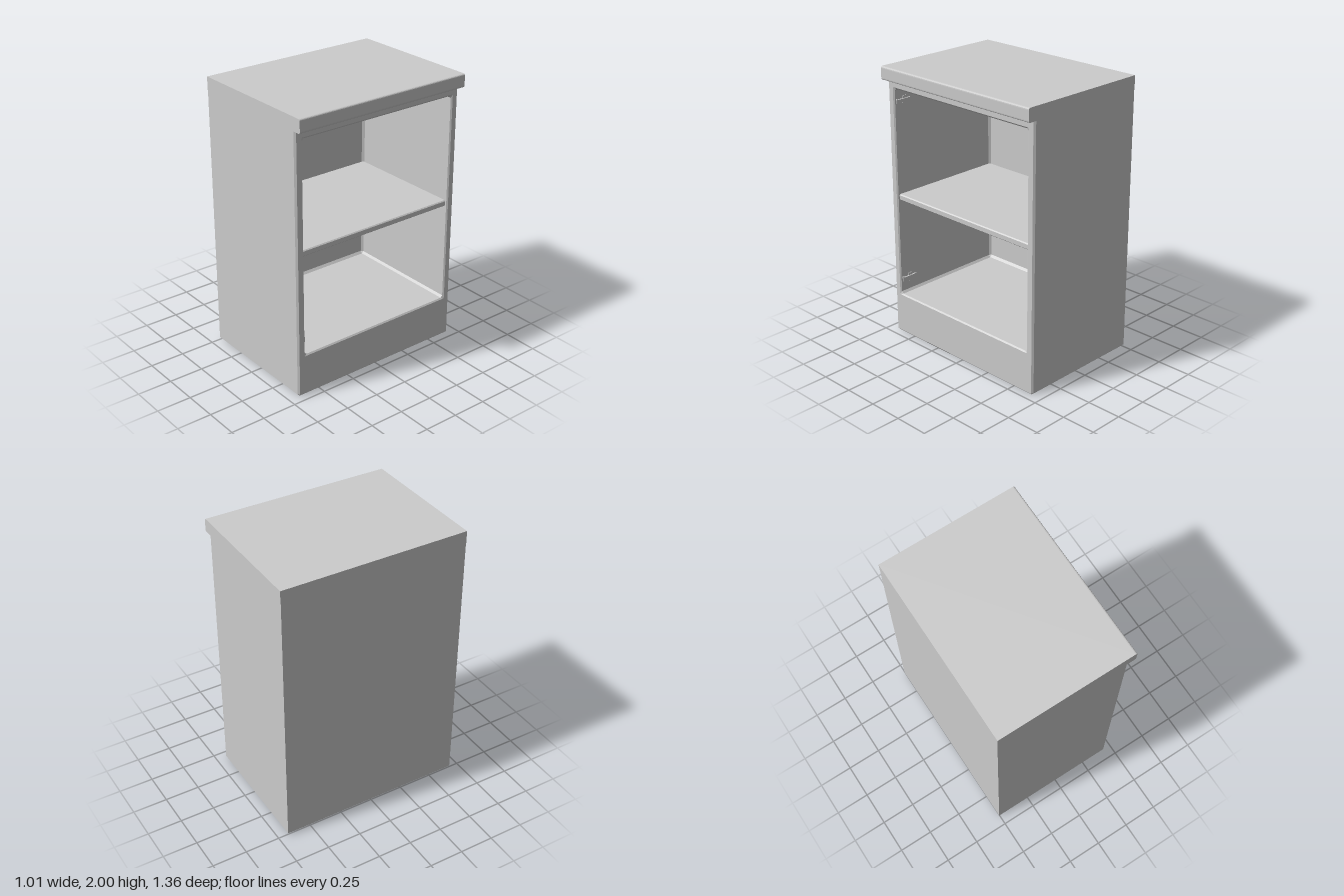
import * as THREE from 'three';

const material = new THREE.MeshStandardMaterial({ color: 0xcccccc, flatShading: true });

function addMesh(parent, name, geometry, x = 0, y = 0, z = 0) {
  const mesh = new THREE.Mesh(geometry, material);
  mesh.name = name;
  mesh.position.set(x, y, z);
  parent.add(mesh);
  return mesh;
}

// Rectangle across the cabinet at depth x, with its bottom and top corners cut
function section(x, halfWidth, y0, y1, cutBottom, cutTop) {
  const w = halfWidth, b = cutBottom, t = cutTop;
  return [
    [w - b, y0], [b - w, y0], [-w, y0 + b], [-w, y1 - t],
    [t - w, y1], [w - t, y1], [w, y1 - t], [w, y0 + b],
  ].map(([z, y]) => new THREE.Vector3(x, y, z));
}

// Skin consecutive sections and close both ends
function loft(sections) {
  const points = [];
  const tri = (a, b, c) => points.push(a, b, c);
  for (let i = 0; i < sections.length - 1; i++) {
    const a = sections[i], b = sections[i + 1];
    for (let j = 0; j < 8; j++) {
      const k = (j + 1) % 8;
      tri(a[j], a[k], b[k]);
      tri(a[j], b[k], b[j]);
    }
  }
  const first = sections[0], last = sections[sections.length - 1];
  for (let j = 1; j < 7; j++) {
    tri(first[0], first[j + 1], first[j]);
    tri(last[0], last[j], last[j + 1]);
  }
  const geometry = new THREE.BufferGeometry().setFromPoints(points);
  geometry.computeVertexNormals();
  return geometry;
}

function createHinge(y) {
  const hinge = new THREE.Group();
  hinge.name = 'hinge';
  addMesh(hinge, 'hingePlate', new THREE.BoxGeometry(0.03, 0.06, 0.005), 0.36, 0, 0.618);
  addMesh(hinge, 'hingeArm', new THREE.BoxGeometry(0.12, 0.022, 0.012), 0.37, 0, 0.614);
  addMesh(hinge, 'hingeKnuckle', new THREE.CylinderGeometry(0.006, 0.006, 0.035, 8), 0.43, 0, 0.613);
  hinge.position.y = y;
  return hinge;
}

export function createModel() {
  const cabinet = new THREE.Group();
  cabinet.name = 'cabinet';

  // Hollow carcass: outside from back to front, then in through the opening
  addMesh(cabinet, 'carcass', loft([
    section(-0.505, 0.678, 0.015, 1.91, 0, 0),
    section(-0.492, 0.678, 0, 1.91, 0.015, 0),
    section(0.437, 0.678, 0, 1.91, 0.015, 0),
    section(0.45, 0.667, 0.013, 1.91, 0.003, 0),
    section(0.45, 0.63, 0.3, 1.853, 0.006, 0.006),
    section(0.442, 0.62, 0.31, 1.843, 0.015, 0.015),
    section(-0.445, 0.62, 0.31, 1.843, 0.015, 0.015),
    section(-0.46, 0.605, 0.327, 1.828, 0, 0),
  ]));

  // Worktop with a rounded front lip
  const r = 0.014;
  const profile = new THREE.Shape();
  profile.moveTo(-0.505, 1.905);
  profile.lineTo(0.505 - r, 1.905);
  profile.quadraticCurveTo(0.505, 1.905, 0.505, 1.905 + r);
  profile.lineTo(0.505, 2 - r);
  profile.quadraticCurveTo(0.505, 2, 0.505 - r, 2);
  profile.lineTo(-0.505, 2);
  profile.closePath();
  addMesh(cabinet, 'worktop',
    new THREE.ExtrudeGeometry(profile, { depth: 1.36, bevelEnabled: false, curveSegments: 4 }),
    0, 0, -0.68);

  // Shelf with a chamfered front edge
  addMesh(cabinet, 'shelf', loft([
    section(-0.458, 0.62, 1.03, 1.074, 0, 0),
    section(0.425, 0.62, 1.03, 1.074, 0, 0),
    section(0.432, 0.62, 1.036, 1.067, 0, 0),
  ]));

  // Two hinge mounts inside the side wall
  for (const y of [0.42, 1.75]) cabinet.add(createHinge(y));

  return cabinet;
}
